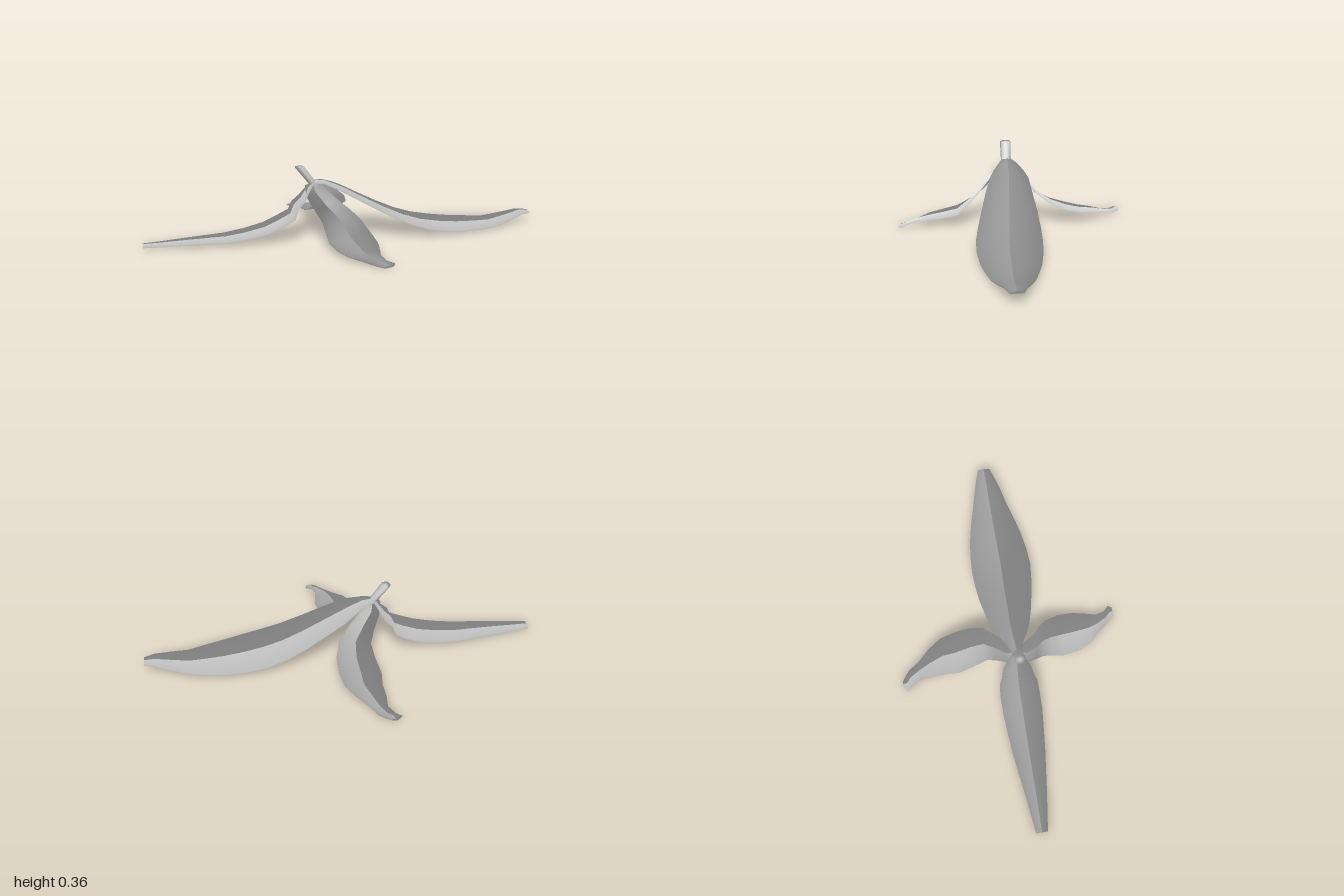
import * as THREE from 'three';
import { mergeVertices } from 'three/addons/utils/BufferGeometryUtils.js';

const material = new THREE.MeshStandardMaterial({ color: 0xcccccc, side: THREE.DoubleSide });

// Thin section of the peel, counted round the strip:
// [position across, height, normal across, normal up]. The normals roll softly over
// both edges and break only along the ridge in the middle.
const section = [
  [0, 0.003, -1, 0.1], [0.25, 0.006, -1, 0.2], [0.5, 0.009, -1, 0.25],
  [0.5, 0.009, 1, 0.25], [0.75, 0.006, 1, 0.2], [1, 0.003, 1, 0.1],
  [1, -0.003, 1, -0.1], [0.75, -0.005, 1, -0.2], [0.5, -0.005, 1, -0.25],
  [0.5, -0.005, -1, -0.25], [0.25, -0.005, -1, -0.2], [0, -0.003, -1, -0.1],
];

// Strip of peel. Each station is [left edge xyz, right edge xyz], walking outwards.
function flap(name, stations) {
  const edges = stations.map(s => [new THREE.Vector3(...s.slice(0, 3)), new THREE.Vector3(...s.slice(3))]);
  const mids = edges.map(([a, b]) => a.clone().lerp(b, 0.5));
  const n = section.length, last = edges.length - 1, pos = [], normals = [], index = [];
  edges.forEach(([a, b], i) => {
    const along = mids[Math.min(i + 1, last)].clone().sub(mids[Math.max(i - 1, 0)]);
    const across = b.clone().sub(a).normalize();
    const up = across.clone().cross(along).normalize();
    for (const [t, h, na, nu] of section) {
      pos.push(...a.clone().lerp(b, t).addScaledVector(up, h).toArray());
      normals.push(...across.clone().multiplyScalar(na).addScaledVector(up, nu).normalize().toArray());
    }
  });
  for (let i = 0; i < last; i++) {
    for (let j = 0; j < n; j++) {
      const p = i * n + j, q = i * n + (j + 1) % n;
      index.push(p, q, q + n, p, q + n, p + n);
    }
  }
  // closed ends
  for (let j = 1; j < n - 1; j++) {
    index.push(0, j + 1, j, last * n, last * n + j, last * n + j + 1);
  }
  const geometry = new THREE.BufferGeometry();
  geometry.setAttribute('position', new THREE.Float32BufferAttribute(pos, 3));
  geometry.setAttribute('normal', new THREE.Float32BufferAttribute(normals, 3));
  geometry.setIndex(index);
  const mesh = new THREE.Mesh(geometry, material);
  mesh.name = name;
  return mesh;
}

// Flaps lying along x: rows of [x, y, back z, front z]
const longFlap = (name, rows, outward) => flap(name, rows.map(([x, y, back, front]) =>
  outward > 0 ? [x, y, back, x, y, front] : [x, y, front, x, y, back]));

// Flaps lying along z: rows of [z, low x, low y, high x, high y]
const sideFlap = (name, rows, outward) => flap(name, rows.map(([z, x0, y0, x1, y1]) =>
  outward > 0 ? [x1, y1, z, x0, y0, z] : [x0, y0, z, x1, y1, z]));

export function createModel() {
  const model = new THREE.Group();
  model.name = 'bananaPeel';

  // Largest flap, towards +x
  model.add(longFlap('largeFlap', [
    [-0.17, 0.282, -0.005, 0.04], [-0.11, 0.28, -0.03, 0.055], [-0.05, 0.256, -0.065, 0.085],
    [0.0, 0.231, -0.088, 0.105], [0.1, 0.176, -0.105, 0.13], [0.2, 0.123, -0.122, 0.15],
    [0.3, 0.076, -0.132, 0.167], [0.4, 0.043, -0.136, 0.178], [0.5, 0.025, -0.132, 0.173],
    [0.6, 0.014, -0.12, 0.158], [0.7, 0.011, -0.1, 0.135], [0.78, 0.011, -0.08, 0.112],
    [0.88, 0.033, -0.055, 0.085], [0.95, 0.051, -0.035, 0.06], [1.0, 0.05, -0.018, 0.043],
  ], 1));

  // Narrower flap, towards -x
  model.add(longFlap('narrowFlap', [
    [-0.165, 0.28, -0.005, 0.045], [-0.19, 0.24, -0.035, 0.06], [-0.215, 0.2, -0.06, 0.08],
    [-0.25, 0.165, -0.072, 0.09], [-0.268, 0.12, -0.085, 0.105], [-0.32, 0.092, -0.09, 0.108],
    [-0.4, 0.057, -0.088, 0.11], [-0.5, 0.035, -0.08, 0.102], [-0.6, 0.022, -0.07, 0.093],
    [-0.8, 0.018, -0.043, 0.068], [-0.93, 0.014, -0.026, 0.05], [-1.0, 0.013, -0.018, 0.04],
  ], -1));

  // Short twisted flaps, towards +z and -z
  model.add(sideFlap('frontFlap', [
    [0.01, -0.2, 0.265, -0.12, 0.283], [0.06, -0.2, 0.215, -0.11, 0.26], [0.12, -0.165, 0.15, -0.06, 0.215],
    [0.16, -0.145, 0.115, 0.0, 0.165], [0.2, -0.14, 0.085, 0.04, 0.125], [0.27, -0.135, 0.045, 0.08, 0.065],
    [0.35, -0.115, 0.03, 0.085, 0.05], [0.42, -0.08, 0.022, 0.075, 0.038], [0.47, -0.03, 0.014, 0.065, 0.032],
    [0.52, 0.015, 0.008, 0.08, 0.022], [0.545, 0.035, 0.007, 0.11, 0.015], [0.565, 0.055, 0.007, 0.1, 0.013],
  ], 1));
  model.add(sideFlap('backFlap', [
    [0.03, -0.2, 0.265, -0.12, 0.283], [-0.03, -0.185, 0.22, -0.1, 0.265], [-0.08, -0.15, 0.165, -0.03, 0.22],
    [-0.13, -0.125, 0.12, 0.035, 0.16], [-0.2, -0.135, 0.08, 0.06, 0.112], [-0.28, -0.15, 0.052, 0.06, 0.077],
    [-0.35, -0.14, 0.038, 0.045, 0.06], [-0.42, -0.145, 0.026, 0.0, 0.046], [-0.48, -0.14, 0.012, -0.055, 0.026],
    [-0.53, -0.17, 0.007, -0.085, 0.014], [-0.55, -0.195, 0.007, -0.11, 0.012], [-0.57, -0.17, 0.007, -0.14, 0.01],
  ], -1));

  // Stem: slanted, cut level at the top, with softly rounded shading
  const block = new THREE.CylinderGeometry(0.028, 0.024, 0.1, 8);
  block.deleteAttribute('normal');
  block.deleteAttribute('uv');
  const stemGeometry = mergeVertices(block);
  stemGeometry.scale(0.85, 1, 1);
  stemGeometry.applyMatrix4(new THREE.Matrix4().makeShear(0, 0, -0.75, 0, 0, 0));
  stemGeometry.computeVertexNormals();
  const stem = new THREE.Mesh(stemGeometry, material);
  stem.name = 'stem';
  stem.position.set(-0.19, 0.314, 0.021);
  model.add(stem);

  return model;
}
